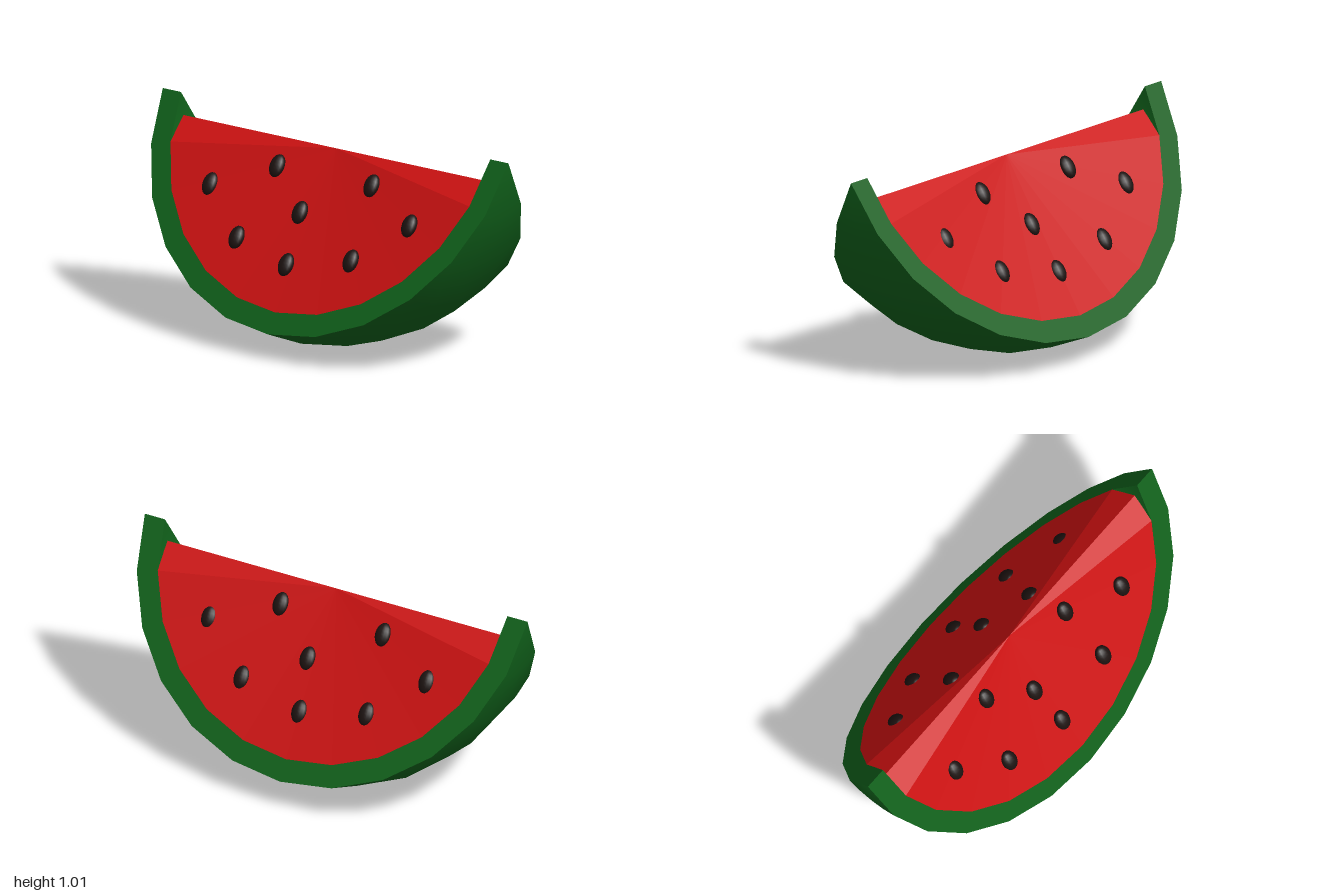
import * as THREE from 'three';

const OUTER = 1, INNER = 0.895, HALF = Math.PI / 6, ROWS = 12;

export function createModel() {
  const model = new THREE.Group();
  model.name = 'melonSlice';
  const rindMat = new THREE.MeshStandardMaterial({ color: 0x10601a });
  const wallMat = new THREE.MeshStandardMaterial({ color: 0x10601a, side: THREE.DoubleSide });
  const fleshMat = new THREE.MeshStandardMaterial({ color: 0xcc1111, flatShading: true, side: THREE.DoubleSide });
  const seedMat = new THREE.MeshStandardMaterial({ color: 0x1c1210 });

  // The wedge hangs from a long axis along z and is tilted very slightly
  const slice = new THREE.Group();
  slice.name = 'slice';
  slice.position.set(-0.02, 1.005, 0);
  slice.rotation.set(0.0075, 0, 0.021);
  model.add(slice);

  const add = (parent, name, geometry, material) => {
    const mesh = new THREE.Mesh(geometry, material);
    mesh.name = name;
    parent.add(mesh);
    return mesh;
  };

  // Rind: outer and inner skins of a 60 degree wedge of a sphere
  const skin = (r) => new THREE.SphereGeometry(r, 4, ROWS, Math.PI / 2 - HALF, HALF * 2).rotateX(Math.PI / 2);
  add(slice, 'rindOuter', skin(OUTER), rindMat);
  add(slice, 'rindInner', skin(INNER), wallMat);

  for (const s of [1, -1]) {
    const side = s > 0 ? 'left' : 'right';

    // Cut edge of the rind
    const rim = new THREE.RingGeometry(INNER, OUTER, ROWS, 1, Math.PI, Math.PI);
    rim.rotateY(s * Math.PI / 2).rotateZ(s * HALF);
    add(slice, side + 'RindEdge', rim, rindMat);

    // Flesh: a fan from the middle of the lowered ridge to the rind's inner edge
    const ridgeY = -0.106, ridgeZ = 0.895;
    const edge = [new THREE.Vector3(0, ridgeY, ridgeZ)];
    for (let i = 1; i < ROWS; i++) {
      const t = Math.PI * i / ROWS, r = INNER * Math.sin(t);
      edge.push(new THREE.Vector3(s * r * Math.sin(HALF), -r * Math.cos(HALF), INNER * Math.cos(t)));
    }
    edge.push(new THREE.Vector3(0, ridgeY, -ridgeZ));
    const middle = new THREE.Vector3(0, ridgeY, 0);
    const points = [];
    for (let i = 0; i < ROWS; i++) {
      points.push(middle, ...(s > 0 ? [edge[i], edge[i + 1]] : [edge[i + 1], edge[i]]));
    }
    const flesh = new THREE.BufferGeometry().setFromPoints(points);
    flesh.computeVertexNormals();
    add(slice, side + 'Flesh', flesh, fleshMat);
  }

  // Seeds: flattened ellipsoids lying along the slope of each cut face
  const seedGeo = new THREE.SphereGeometry(1, 14, 10).scale(0.028, 0.055, 0.038);
  const seeds = {
    left: [[0.15, 0.67, 0.565], [0.065, 0.79, 0.24], [0.075, 0.79, -0.3], [0.175, 0.62, 0.035],
      [0.165, 0.67, -0.58], [0.27, 0.485, 0.325], [0.275, 0.485, -0.33], [0.31, 0.42, 0]],
    right: [[-0.2, 0.67, 0.57], [-0.11, 0.79, 0.28], [-0.105, 0.79, -0.27], [-0.21, 0.63, -0.055],
      [-0.19, 0.67, -0.59], [-0.305, 0.485, 0.315], [-0.305, 0.485, -0.345], [-0.348, 0.42, -0.025]],
  };
  for (const side of ['left', 'right']) {
    for (const p of seeds[side]) {
      const seed = add(model, side + 'Seed', seedGeo, seedMat);
      seed.position.set(...p);
      seed.rotation.z = side === 'left' ? 0.6 : -0.56;
    }
  }
  return model;
}
